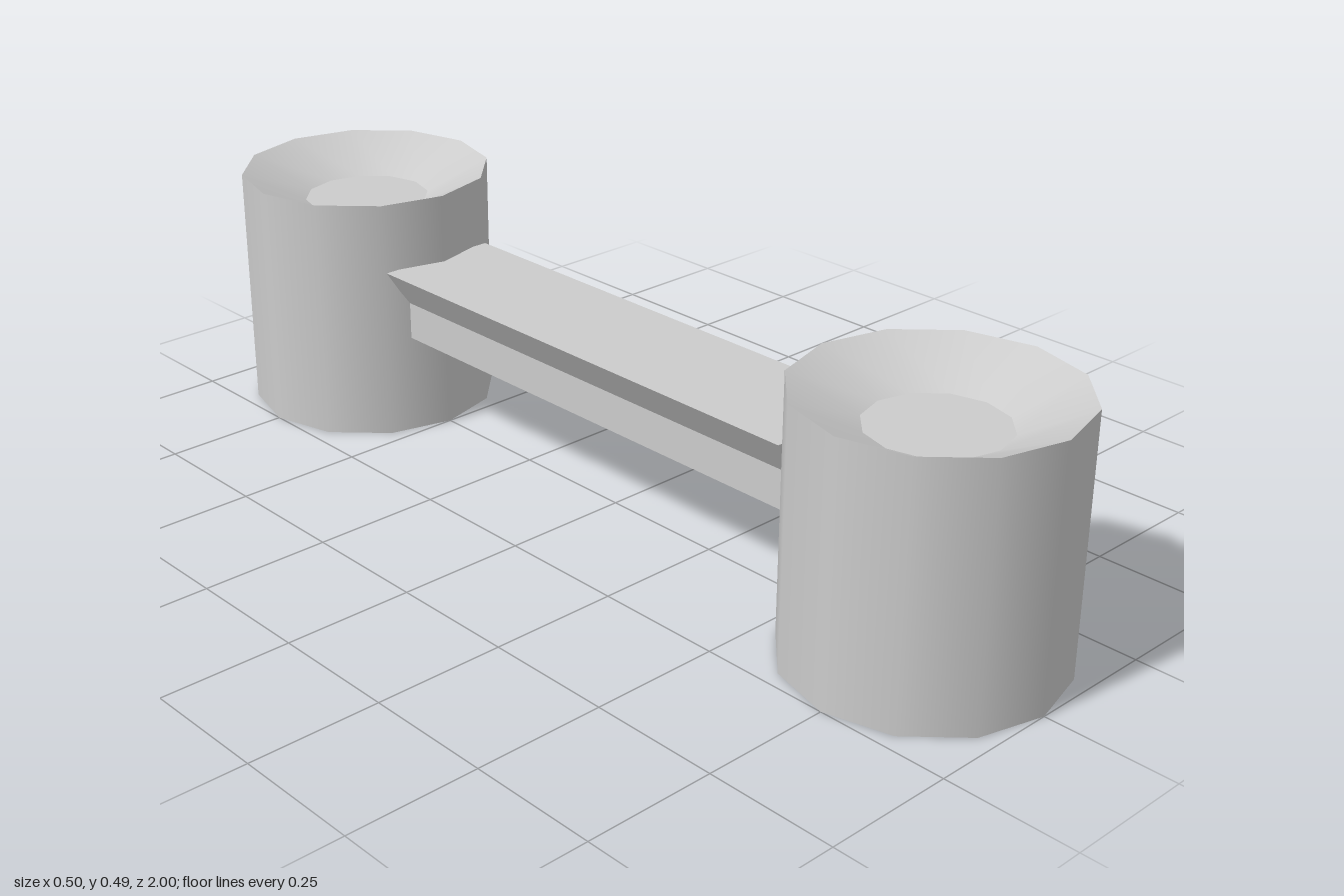
import * as THREE from 'three';

const material = new THREE.MeshStandardMaterial({ color: 0xcccccc });

// Twelve-sided cup; each profile segment is its own lathe so the rims stay sharp
function createCup(name, z) {
  const cup = new THREE.Group();
  cup.name = name;
  const profile = [[0, 0], [0.25, 0], [0.25, 0.487], [0.125, 0.425], [0, 0.425]]
    .map(([r, y]) => new THREE.Vector2(r, y));
  ['base', 'wall', 'funnel', 'floor'].forEach((part, i) => {
    const mesh = new THREE.Mesh(new THREE.LatheGeometry([profile[i], profile[i + 1]], 12), material);
    mesh.name = part;
    cup.add(mesh);
  });
  cup.position.z = z;
  return cup;
}

// Connecting beam: wide flat top, undercut flanks, narrow straight lower half
function createBeam() {
  const length = 1.05;
  const section = new THREE.Shape([
    [-0.075, 0.2], [0.075, 0.2], [0.075, 0.275],
    [0.125, 0.35], [-0.125, 0.35], [-0.075, 0.275],
  ].map(([x, y]) => new THREE.Vector2(x, y)));
  const geometry = new THREE.ExtrudeGeometry(section, { depth: length, bevelEnabled: false });
  geometry.translate(0, 0, -length / 2);
  const beam = new THREE.Mesh(geometry, material);
  beam.name = 'connectingBeam';
  return beam;
}

export function createModel() {
  const model = new THREE.Group();
  model.name = 'doubleCupHolder';
  model.add(createCup('frontCup', 0.75), createCup('backCup', -0.75), createBeam());
  return model;
}
